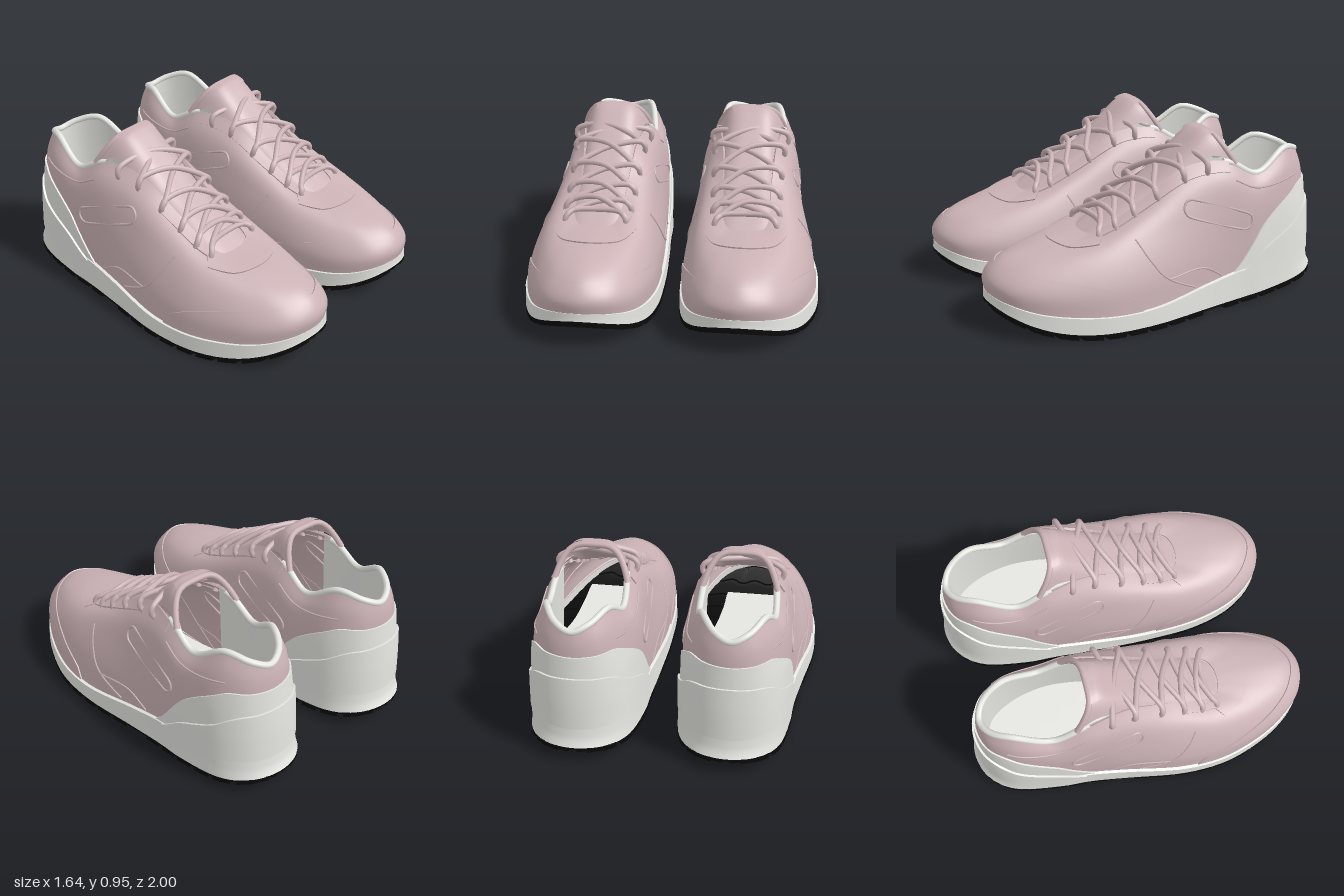
import * as THREE from 'three';
import { mergeGeometries, mergeVertices, toCreasedNormals } from 'three/addons/utils/BufferGeometryUtils.js';

const V = (x, y, z) => new THREE.Vector3(x, y, z);
const lerp = THREE.MathUtils.lerp, clamp = THREE.MathUtils.clamp;

// Half of the sole outline, toe to heel: [half width, z]; its height rises to toe and heel
const base = [[0, .97], [.15, .92], [.265, .78], [.35, .5], [.362, .2], [.325, -.15],
  [.302, -.35], [.293, -.52], [.24, -.79], [.14, -.905], [0, -.945]]
  .map(([x, z]) => V(x, .11 + .09 * (z > .5 ? ((z - .5) / .47) ** 2 : clamp((.2 - z) / .7, 0, 1)), z));
// Matching half rings halfway up and at the throat and collar: [half width, y, z]
const middle = [[0, .365, .905], [.13, .36, .84], [.22, .36, .7], [.29, .39, .45], [.3, .44, .2], [.288, .5, -.12],
  [.287, .53, -.32], [.283, .53, -.49], [.237, .54, -.75], [.14, .55, -.88], [0, .56, -.922]].map((p) => V(...p));
const collar = [[0, .465, .45], [.05, .465, .445], [.1, .47, .42], [.125, .515, .32], [.13, .62, .14], [.15, .775, -.12],
  [.195, .785, -.34], [.205, .7, -.53], [.162, .805, -.73], [.09, .775, -.85], [0, .745, -.89]].map((p) => V(...p));
// In-between rings give the walls their bulge
const between = (a, b, tx, ty, tz) => a.map((p, i) => V(lerp(p.x, b[i].x, tx), lerp(p.y, b[i].y, ty), lerp(p.z, b[i].z, tz(p.z))));
const lower = between(base, middle, .15, .48, (z) => (z > 0 ? -.1 : .3));
const shoulder = between(middle, collar, .36, .6, () => .4);
const RINGS = [base, lower, middle, shoulder, collar].map((half) => {
  const back = half.slice(1, -1).reverse().map((p) => V(-p.x, p.y, p.z));
  return new THREE.CatmullRomCurve3([...half, ...back], true);
});

// u: 0 toe, 1 heel, negative on the other side
const ring = (k, u) => RINGS[k].getPoint(((u / 2) % 1 + 1) % 1);
const fold = (u) => (u > 1 ? 2 - u : Math.abs(u));
const rawSurf = (u, v) => new THREE.CatmullRomCurve3(RINGS.map((_, k) => ring(k, u))).getPoint(clamp(v, 0, 1));
function surf(u, v, off = 0) {
  const p = rawSurf(u, v);
  if (!off) return p;
  const e = .006;
  const du = rawSurf(u + e, v).sub(rawSurf(u - e, v));
  const dv = rawSurf(u, v + e).sub(rawSurf(u, v - e));
  return p.addScaledVector(du.cross(dv).normalize(), off);
}
// Finds the place on the side of the upper with a given z and y
function onSide(z, y, side, off) {
  let u = .45, v = .5;
  for (let n = 0; n < 5; n++) {
    let a = .05, b = .95;
    for (let i = 0; i < 11; i++) { u = (a + b) / 2; if (rawSurf(u, v).z > z) a = u; else b = u; }
    a = 0; b = 1;
    for (let i = 0; i < 11; i++) { v = (a + b) / 2; if (rawSurf(u, v).y < y) a = v; else b = v; }
  }
  return surf(side * u, v, off);
}

function grid(nu, nv, f) {
  const pos = [], idx = [];
  for (let i = 0; i <= nu; i++) for (let j = 0; j <= nv; j++) {
    pos.push(...f(i / nu, j / nv).toArray());
    if (i < nu && j < nv) {
      const a = i * (nv + 1) + j, b = a + nv + 1;
      idx.push(a, b, a + 1, b, b + 1, a + 1);
    }
  }
  const g = new THREE.BufferGeometry();
  g.setAttribute('position', new THREE.Float32BufferAttribute(pos, 3));
  g.setIndex(idx);
  return g;
}
// Raised panel lying on the upper, with its edges turned down
function overlay(u0, u1, lo, hi, off, nu = 60, nv = 14) {
  const inset = (t, n) => clamp((t * n - 1) / (n - 2), 0, 1);
  return grid(nu, nv, (a, b) => {
    const u = lerp(u0, u1, inset(a, nu));
    const edge = a === 0 || a === 1 || b === 0 || b === 1;
    return surf(u, lerp(lo(fold(u)), hi(fold(u)), inset(b, nv)), edge ? -.006 : off);
  });
}
const tube = (pts, r, closed = false, n = 40, sides = 8) =>
  new THREE.TubeGeometry(new THREE.CatmullRomCurve3(pts, closed), n, r, sides, closed);

// Sole underside with toe and heel spring, and the flare of its edge
const soleY = (z) => (z > .4 ? .145 * ((z - .4) / .58) ** 2.7 : z < -.3 ? .068 * ((-.3 - z) / .65) ** 1.5 : 0);
const flare = (z) => (z > 0 ? 1.015 : 1.047);
const outline = Array.from({ length: 201 }, (_, i) => ring(0, i / 200));
function halfWidth(z) {
  const i = outline.findIndex((p) => p.z <= z);
  const a = outline[i - 1], b = outline[i];
  return lerp(a.x, b.x, (a.z - z) / (a.z - b.z));
}

// Tongue sheet: s across, t upward
const spine = new THREE.CatmullRomCurve3([[.44, .48], [.55, .3], [.695, .05], [.835, -.12], [.93, -.24], [.94, -.285]]
  .map(([y, z]) => V(0, y, z)));
function tongue(s, t, off = 0) {
  const c = spine.getPoint(t), k = Math.abs(s) ** 4;
  return V(s * lerp(.13, .2, t * t), c.y + off - k * lerp(.02, .165, t * t), c.z + off * .5 - k * .1 * t ** 4);
}

export function createModel() {
  const mat = (name, color) => {
    const m = new THREE.MeshStandardMaterial({ color, side: THREE.DoubleSide });
    m.name = name;
    return m;
  };
  const pink = mat('dusty pink', 0xcbb2b5);
  const white = mat('off white', 0xe5e5e1);
  const black = mat('black rubber', 0x0a0a0a);

  const model = new THREE.Group();
  const shoes = [1, -1].map((side) => {
    const g = new THREE.Group();
    g.name = side > 0 ? 'leftShoe' : 'rightShoe';
    g.position.z = -.01 * side;
    model.add(g);
    return g;
  });
  // Curves the symmetric part along the foot and adds it to both shoes
  function add(name, geo, material, crease = 0) {
    geo.deleteAttribute('uv');
    geo.deleteAttribute('normal');
    const p = geo.attributes.position;
    for (let i = 0; i < p.count; i++) {
      const bend = .035 * Math.exp(-(((p.getZ(i) - .3) / .45) ** 2)) * clamp(1.2 - p.getY(i) * 2, 0, 1);
      p.setX(i, p.getX(i) + .4 + bend);
    }
    const left = mergeVertices(geo, 1e-5);
    const right = left.clone().scale(-1, 1, 1);
    const ix = right.index;
    for (let i = 0; i < ix.count; i += 3) {
      const a = ix.getX(i);
      ix.setX(i, ix.getX(i + 1));
      ix.setX(i + 1, a);
    }
    [left, right].forEach((g, i) => {
      g.computeVertexNormals();
      const mesh = new THREE.Mesh(crease ? toCreasedNormals(g, crease) : g, material);
      mesh.name = name;
      shoes[i].add(mesh);
    });
  }

  // Upper and its stitched-on panels
  add('upper', grid(120, 28, (a, b) => surf(a * 2 - 1, b)), pink);
  add('toeGuard', overlay(-.38, .38, () => 0, (u) => .47 * Math.sqrt(Math.max(0, 1 - (u / .38) ** 2)), .007), pink, .7);
  add('vampBand', overlay(-.28, .28, (u) => .84 - .1 * (u / .28) ** 2, () => .99, .008, 40, 8), pink, .7);
  for (const ends of [[.28, .6], [-.6, -.28]]) {
    add('eyestay', overlay(...ends, () => .86, () => .995, .009, 40, 8), pink, .7);
  }

  // Side seams and the long oval trim
  const seams = [];
  const paths = [
    [[.26, .47], [.2, .36], [.13, .27], [.03, .21], [-.06, .17]],
    [[.1, .25], [-.12, .26], [-.25, .19]],
    [[-.36, .69], [-.5, .63], [-.78, .66]],
  ];
  for (const s of [1, -1]) {
    for (const path of paths) {
      const line = new THREE.CatmullRomCurve3(path.map(([z, y]) => V(0, y, z))).getPoints(10);
      seams.push(tube(line.map((p) => onSide(p.z, p.y, s, .001)), .005, false, 30, 6));
    }
    const oval = [];
    for (let i = 0; i < 20; i++) {
      const a = (i + .5) / 20 * Math.PI * 2, front = Math.cos(a) > 0, tilt = a + .34;
      oval.push(onSide((front ? -.085 : -.405) + .045 * Math.cos(tilt), (front ? .577 : .465) + .045 * Math.sin(tilt), s, .001));
    }
    seams.push(tube(oval, .007, true, 80, 6));
  }
  add('sideSeams', mergeGeometries(seams), pink);

  // Heel cup and the thicker wedge under it
  const rise = (u, from, top) => top * Math.sin(Math.PI / 2 * clamp((u - from) / .28, 0, 1)) ** 1.4;
  add('heelCup', overlay(.58, 1.42, () => 0, (u) => rise(u, .58, .61), .009), white, .7);
  add('heelWedge', overlay(.62, 1.38, () => 0, (u) => rise(u, .62, .41), .021), white, .7);

  // Collar rim, lining and footbed
  add('collarRim', tube(Array.from({ length: 41 }, (_, i) => {
    const p = ring(4, lerp(.59, 1.41, i / 40));
    return V(p.x * .97, p.y - .005, p.z * .993);
  }), .018, false, 90), white);
  add('lining', grid(60, 8, (a, b) => {
    const p = ring(4, lerp(.57, 1.43, a));
    return V(p.x * lerp(.96, 1.08, b), lerp(p.y, .33, b), p.z * .985);
  }), white);
  add('footbed', grid(30, 6, (a, b) => {
    const p = ring(4, lerp(.3, 1, a));
    return V(p.x * 1.14 * (1 - 2 * b), .335, p.z * .99);
  }), white);

  // Tongue with rolled top edge and tab
  add('tongue', grid(24, 30, (a, b) => tongue(a * 2 - 1, b)), pink);
  add('tongueEdge', tube(Array.from({ length: 21 }, (_, i) => tongue(i / 10 - 1, 1, -.01)), .017), pink);
  add('tongueTab', grid(10, 10, (a, b) => tongue((a - .5) * 1.2, lerp(.76, 1, b), .009)), pink);

  // Criss-cross laces through the eyelet rows
  const laces = [];
  const lace = (s, i, j, lift) => {
    const end = (side, row) => (off, v) => surf(side * (.265 + .055 * row), v, off);
    const a = end(s, i), b = end(-s, j);
    const mid = a(0, .98).add(b(0, .98)).multiplyScalar(.5);
    mid.y += lift;
    laces.push(tube([a(-.015, .87), a(.028, .9), a(.042, .97), mid, b(.042, .97), b(.028, .9), b(-.015, .87)], .016, false, 36));
  };
  lace(1, 0, 0, .04);
  for (let i = 0; i < 5; i++) {
    lace(1, i, i + 1, .055);
    lace(-1, i, i + 1, .078);
  }
  add('laces', mergeGeometries(laces), pink);

  // Midsole wall, flaring toward the ground
  add('midsole', grid(120, 4, (a, b) => {
    const p = ring(0, a * 2 - 1);
    const low = soleY(p.z) + .026, top = Math.max(p.y + .012, low + .012);
    const tuck = b === 1 ? .06 : 0;
    return V(p.x * (lerp(1.055, 1.045, b) - tuck), lerp(low, top, b === .75 ? .96 : b), p.z * (lerp(flare(p.z), 1.01, Math.sqrt(b)) - tuck / 2));
  }), white, .8);

  // Outsole sheet and rim
  add('outsole', mergeGeometries([
    grid(80, 6, (a, b) => {
      const p = ring(0, a);
      return V(p.x * 1.055 * (b * 2 - 1), soleY(p.z) + .018, p.z * flare(p.z));
    }),
    grid(120, 1, (a, b) => {
      const p = ring(0, a * 2 - 1);
      return V(p.x * 1.056, soleY(p.z) + lerp(.018, .03, b), p.z * flare(p.z));
    }),
  ]), black, .6);

  // Wavy tread bars, with a gap under the arch
  const bars = [];
  for (let i = 0; i < 16; i++) {
    if (i === 6) continue;
    const g = new THREE.BoxGeometry(2, 1, .09, 14, 1, 2), p = g.attributes.position;
    for (let k = 0; k < p.count; k++) {
      const x = p.getX(k), z = clamp(-.88 + i * .119 + p.getZ(k) + .014 * Math.cos(x * 9), -.935, .955);
      p.setXYZ(k, x * halfWidth(z) * 1.06, soleY(z) + (p.getY(k) + .5) * .03, z * flare(z));
    }
    bars.push(g);
  }
  add('treadBars', mergeGeometries(bars), black, .6);
  return model;
}
